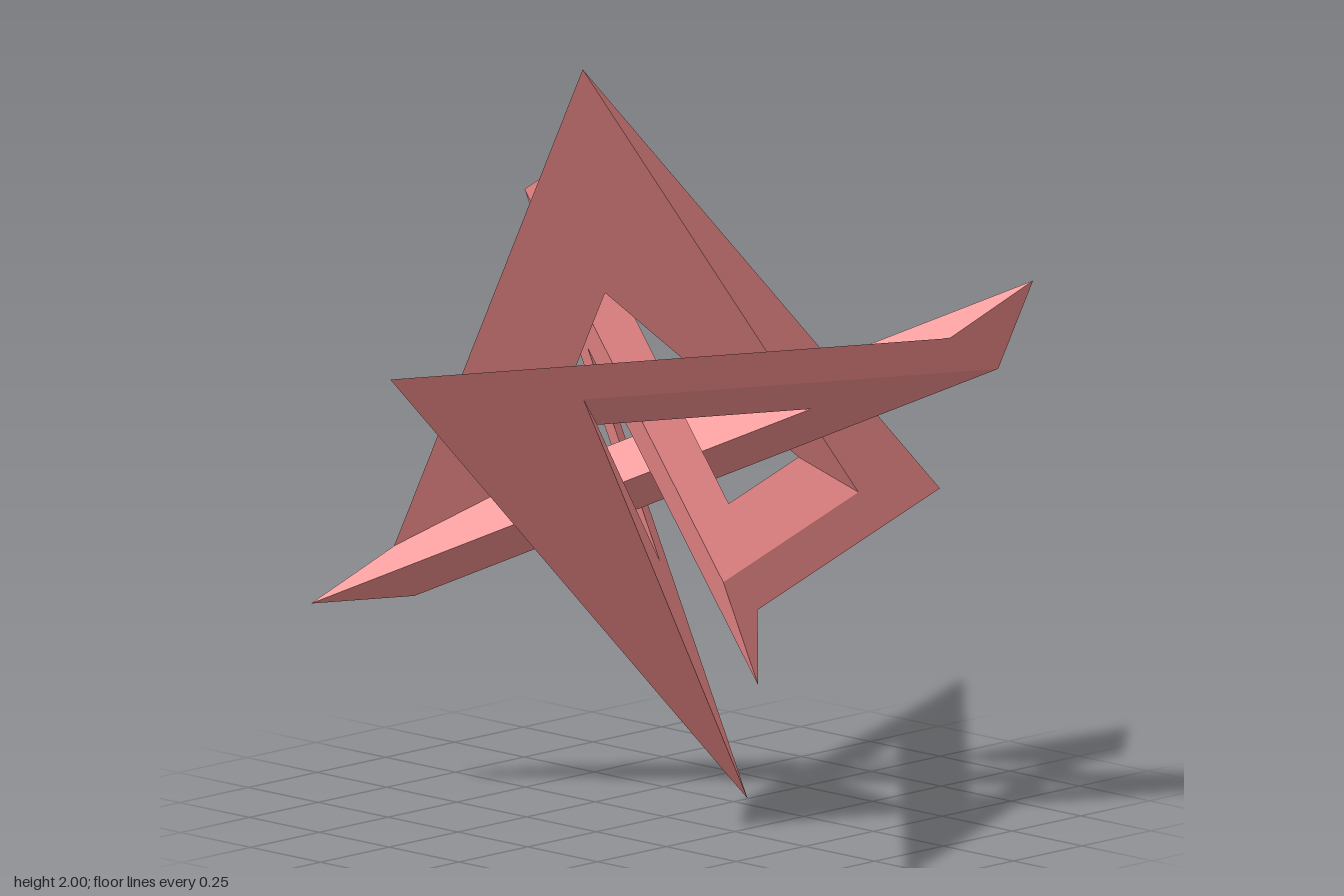
import * as THREE from 'three';

// A closed knot of eight triangular bars, made of four identical quarters
// related by half turns about three perpendicular axes.

// Half turns carrying a corner into the neighbouring quarters
const acrossRim = ([x, y, z]) => [y, x, -z];
const acrossCore = ([x, y, z]) => [-y, -x, -z];

function quarterGeometry() {
  // Pointed corner of the rim bar: tip, outer and inner bend
  const tip = [-1, 0.3, 0];
  const bend = [-0.5, 0.2, 0.2];
  const inner = [-0.3667, 0.1, 0.1167];
  // Corner where the slanted bar meets the core bar
  const spike = [0.5, 0.45, 0.825];
  const heel = [0.5, 0.2, 0.7];
  const notch = [0.35, 0.3, 0.675];
  const crook = [0.15, 0.1, 0.375];

  // Each polygon is fanned from its first corner
  const faces = [
    [notch, tip, bend, heel, spike],                               // outer face, slanted bar
    [bend, tip, acrossRim(tip)],                                   // outer face, rim bar
    [bend, inner, crook, heel],                                    // underside
    [inner, acrossRim(inner), acrossRim(bend), tip, notch, crook], // upper face
    [spike, heel, acrossCore(heel), acrossCore(crook)],            // core bar side
    [notch, spike, acrossCore(crook), crook],                      // core bar flat
  ];
  const points = [];
  for (const f of faces) {
    for (let i = 1; i < f.length - 1; i++) points.push(...f[0], ...f[i], ...f[i + 1]);
  }
  const geometry = new THREE.BufferGeometry();
  geometry.setAttribute('position', new THREE.Float32BufferAttribute(points, 3));
  geometry.computeVertexNormals();
  return geometry;
}

export function createModel() {
  const model = new THREE.Group();
  model.name = 'triangularBarKnot';
  const geometry = quarterGeometry();
  const material = new THREE.MeshStandardMaterial({ color: 0xff9494, flatShading: true });

  // First quarter, then its three half-turned copies
  const axes = [null, [0, 0, 1], [1, 1, 0], [-1, 1, 0]];
  axes.forEach((axis, i) => {
    const quarter = new THREE.Mesh(geometry, material);
    quarter.name = `knotQuarter${i + 1}`;
    if (axis) {
      quarter.quaternion.setFromAxisAngle(new THREE.Vector3(...axis).normalize(), Math.PI);
    }
    quarter.position.y = 1;
    model.add(quarter);
  });
  return model;
}
